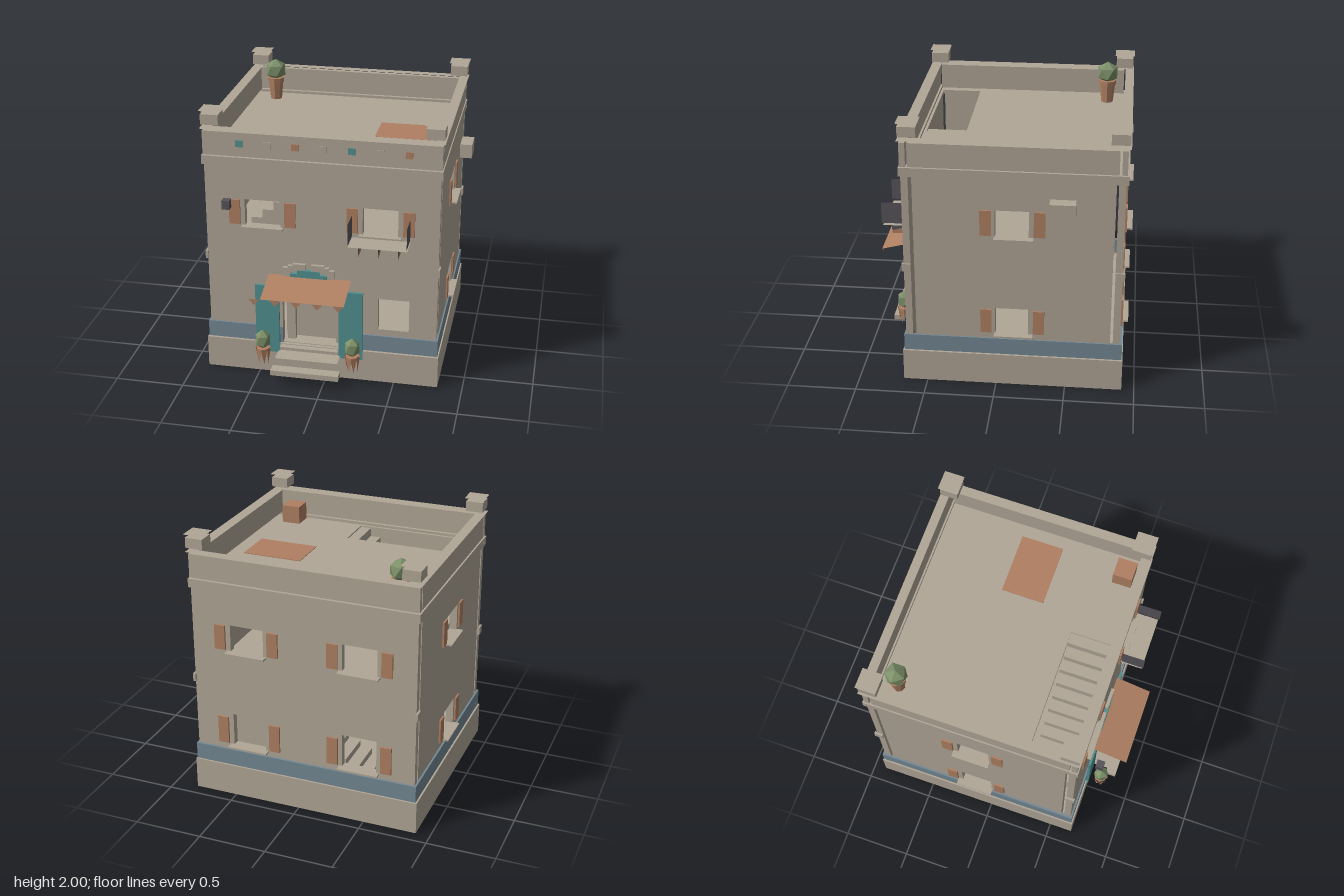
import * as THREE from 'three';

const mat = (name, color) =>
  new THREE.MeshStandardMaterial({ name, color, flatShading: true, side: THREE.DoubleSide });

export function createModel() {
  const root = new THREE.Group();
  root.name = 'townHouse';
  const stone = mat('stone', 0xb0a696), clay = mat('terracotta', 0xb08063), teal = mat('teal', 0x50918f);
  const blue = mat('blue', 0x748894), iron = mat('iron', 0x57545a), leaf = mat('leaf', 0x7c9069);

  const add = (name, geo, m, parent = root) => {
    const mesh = new THREE.Mesh(geo, m);
    mesh.name = name;
    parent.add(mesh);
    return mesh;
  };
  // Box given by its min and max along each axis
  const box = (name, m, x0, x1, y0, y1, z0, z1) => {
    const g = new THREE.BoxGeometry(x1 - x0, y1 - y0, z1 - z0);
    g.translate((x0 + x1) / 2, (y0 + y1) / 2, (z0 + z1) / 2);
    return add(name, g, m);
  };
  // Flat polygon fan from a few corners
  const facet = (name, m, pts) => {
    const g = new THREE.BufferGeometry();
    const tri = [];
    for (let i = 1; i < pts.length - 1; i++) tri.push(...pts[0], ...pts[i], ...pts[i + 1]);
    g.setAttribute('position', new THREE.Float32BufferAttribute(tri, 3));
    g.computeVertexNormals();
    return add(name, g, m);
  };
  const rect = (C, x0, x1, y0, y1) => {
    const s = new C();
    s.moveTo(x0, y0).lineTo(x1, y0).lineTo(x1, y1).lineTo(x0, y1).closePath();
    return s;
  };
  // Slab with rectangular openings, drawn in XY and extruded along Z
  const slab = (outer, holes, depth) => {
    const s = rect(THREE.Shape, ...outer);
    holes.forEach(h => s.holes.push(rect(THREE.Path, ...h)));
    return new THREE.ExtrudeGeometry(s, { depth, bevelEnabled: false });
  };

  // Plinth
  box('plinth', stone, -0.895, 0.82, 0, 0.24, -0.91, 0.675);

  // Walls with window and door openings
  const upper = [[-0.585, -0.33, 1.16, 1.36], [0.26, 0.51, 1.16, 1.36]];
  const door = [-0.325, 0.09, 0.245, 0.72];
  const backLow = [[-0.585, -0.33, 0.41, 0.66], [0.26, 0.51, 0.41, 0.66]];
  const sideWin = [[-0.23, 0.005, 1.18, 1.38], [-0.23, 0.005, 0.41, 0.615]];
  add('frontWall', slab([-0.87, 0.8, 0.24, 1.62], [...upper, door, [0.375, 0.6, 0.42, 0.665]], 0.05), stone)
    .position.z = 0.6;
  add('backWall', slab([-0.87, 0.8, 0.24, 1.62], [...upper, ...backLow], 0.05), stone).position.z = -0.885;
  for (const x of [0.8, -0.815]) {
    const wall = add('sideWall', slab([-0.815, 0.575, 0.24, 1.62], sideWin, 0.055), stone);
    wall.rotation.y = -Math.PI / 2;
    wall.position.x = x;
  }

  // Inner floor, roof deck with stair opening, solid stairs
  box('upperFloor', stone, -0.81, 0.74, 0.89, 0.94, -0.8, 0.57);
  const deck = add('roofDeck', slab([-0.86, 0.79, -0.64, 0.88], [[-0.8, 0.09, -0.58, -0.29]], 0.03), stone);
  deck.rotation.x = -Math.PI / 2;
  deck.position.y = 1.625;
  for (let i = 0; i < 11; i++) {
    const x = -0.8 + i * 0.081;
    box('upperStair', stone, x, x + 0.081, 0.94, 0.94 + (i + 1) * 0.064, 0.29, 0.58);
  }
  for (let i = 0; i < 14; i++) {
    const x = -0.6 + i * 0.09;
    box('lowerStair', stone, x, x + 0.09, 0.24, 0.24 + (i + 1) * 0.046, -0.81, -0.52);
  }

  // Cornice ring and blue dado band
  const band = (name, m, y0, y1, fronts) => {
    fronts.forEach(([a, b]) => box(name, m, a, b, y0, y1, 0.6, 0.664));
    box(name, m, -0.885, 0.812, y0, y1, -0.903, -0.84);
    box(name, m, 0.79, 0.811, y0, y1, -0.84, 0.6);
    box(name, m, -0.884, -0.86, y0, y1, -0.84, 0.6);
  };
  band('cornice', stone, 1.61, 1.675, [[-0.885, 0.812]]);
  band('dado', blue, 0.245, 0.37, [[-0.885, -0.325], [0.09, 0.812]]);
  for (const x of [-0.885, 0.792]) for (const z of [-0.903, 0.6])
    box('cornerBlock', stone, x, x + 0.02, 0.88, 0.94, z, z + 0.064);

  // Parapet with coping
  box('parapet', stone, -0.875, 0.805, 1.68, 1.855, 0.613, 0.655);
  box('parapet', stone, -0.875, 0.805, 1.68, 1.855, -0.89, -0.852);
  for (const x of [-0.875, 0.76]) box('parapet', stone, x, x + 0.045, 1.68, 1.855, -0.835, 0.6);
  const coping = new THREE.ShapeGeometry((() => {
    const s = rect(THREE.Shape, -0.89, 0.82, -0.67, 0.91);
    s.holes.push(rect(THREE.Path, -0.815, 0.75, -0.595, 0.845));
    return s;
  })());
  coping.rotateX(-Math.PI / 2);
  add('coping', coping, stone).position.y = 1.872;

  // Corner posts with flat lids
  for (const x of [-0.817, 0.752]) for (const z of [-0.838, 0.597]) {
    box('cornerPost', stone, x - 0.064, x + 0.064, 1.9, 1.975, z - 0.064, z + 0.064);
    const lid = new THREE.PlaneGeometry(0.148, 0.148).rotateX(-Math.PI / 2);
    add('postLid', lid, stone).position.set(x, 2, z);
  }

  // Parapet tiles
  [teal, stone, clay, stone, teal, stone, clay].forEach((m, i) => {
    const x = -0.61 + i * 0.198;
    box('tile', m, x - 0.025, x + 0.025, 1.752, 1.8, 0.655, 0.662);
  });

  // Shutters and sills
  for (const [z0, z1, s0, s1] of [[0.65, 0.663, 0.65, 0.69], [-0.9, -0.885, -0.94, -0.885]])
    for (const cx of [-0.458, 0.387]) {
      const rows = z0 > 0 ? [[1.17, 1.355]] : [[1.17, 1.355], [0.42, 0.63]];
      for (const [y0, y1] of rows) {
        for (const d of [-0.2, 0.2]) box('shutter', clay, cx + d - 0.04, cx + d + 0.04, y0, y1, z0, z1);
        box('sill', stone, cx - 0.15, cx + 0.15, y0 - 0.02, y0 - 0.008, s0, s1);
      }
    }
  for (const [x0, x1, s0, s1] of [[0.8, 0.812, 0.8, 0.85], [-0.883, -0.87, -0.92, -0.87]])
    for (const [y0, y1] of [[1.19, 1.38], [0.42, 0.605]]) {
      for (const z of [-0.305, 0.07]) box('shutter', clay, x0, x1, y0, y1, z - 0.04, z + 0.04);
      box('sill', stone, s0, s1, y0 - 0.02, y0 - 0.008, -0.265, 0.013);
    }

  // Doorway: recessed panel, jambs, open teal leaves
  box('doorPanel', stone, -0.325, 0.09, 0.24, 0.73, 0.5, 0.53);
  box('doorJamb', stone, -0.305, -0.245, 0.24, 0.72, 0.55, 0.59);
  box('doorJamb', stone, 0.055, 0.09, 0.24, 0.72, 0.55, 0.59);
  box('doorLeaf', teal, -0.52, -0.345, 0.17, 0.71, 0.665, 0.685);
  box('doorLeaf', teal, 0.095, 0.27, 0.17, 0.71, 0.665, 0.685);

  // Stepped arch above the door with teal infill
  for (const s of [-1, 1]) {
    const blocks = [[0.125, 0.19, 0.795, 0.862], [0.075, 0.15, 0.83, 0.88], [0.02, 0.115, 0.85, 0.895]];
    for (const [a, b, y0, y1] of blocks) {
      const xs = [s * a - 0.127, s * b - 0.127].sort((p, q) => p - q);
      box('archStone', stone, xs[0], xs[1], y0, y1, 0.65, 0.675);
    }
  }
  box('fanlight', teal, -0.26, 0.008, 0.795, 0.82, 0.65, 0.68);
  box('fanlight', teal, -0.207, -0.045, 0.82, 0.85, 0.65, 0.68);

  // Awning with pennants
  facet('awning', clay, [[-0.42, 0.725, 0.93], [0.18, 0.725, 0.93], [0.18, 0.795, 0.66], [-0.42, 0.795, 0.66]]);
  for (let i = 0; i < 5; i++) {
    const x = -0.465 + i * 0.151;
    facet('pennant', clay, [[x - 0.038, 0.723, 0.93], [x, 0.678, 0.93], [x + 0.038, 0.723, 0.93]]);
  }

  // Entrance steps
  facet('stepTread', stone, [[-0.335, 0.235, 0.72], [0.09, 0.235, 0.72], [0.09, 0.235, 0.6], [-0.335, 0.235, 0.6]]);
  facet('stepTread', stone, [[-0.355, 0.185, 0.8], [0.105, 0.185, 0.8], [0.105, 0.185, 0.67], [-0.355, 0.185, 0.67]]);
  box('bottomStep', stone, -0.375, 0.125, 0.08, 0.12, 0.79, 0.87);

  // Balcony: open floor, end panels, brackets
  facet('balconyFloor', stone, [[0.185, 1.135, 0.825], [0.6, 1.135, 0.825], [0.6, 1.135, 0.655], [0.185, 1.135, 0.655]]);
  for (const x of [0.188, 0.597])
    facet('balconyPanel', iron, [[x, 1.15, 0.835], [x, 1.15, 0.665], [x, 1.31, 0.665], [x, 1.31, 0.835]]);
  for (const x of [0.25, 0.39, 0.53]) {
    facet('bracket', clay, [[x, 1.04, 0.775], [x, 1.04, 0.665], [x, 1.095, 0.665], [x, 1.06, 0.775]]);
    facet('bracketBrace', iron, [[x, 1.06, 0.775], [x, 1.095, 0.665], [x, 1.108, 0.665], [x, 1.108, 0.775]]);
  }

  // Wall lamp and side unit
  box('lamp', iron, -0.71, -0.655, 1.335, 1.4, 0.745, 0.8);
  box('wallUnit', stone, 0.82, 0.91, 1.385, 1.49, -0.555, -0.375);

  // Roof rug and crate
  box('roofRug', clay, 0.235, 0.68, 1.655, 1.66, -0.28, 0.03);
  box('crate', clay, 0.55, 0.69, 1.655, 1.79, 0.44, 0.58);

  // Faceted shrubs with a vertex pointing up
  const shrub = (r, ry, x, y, z) => {
    const g = new THREE.IcosahedronGeometry(r, 0).rotateZ(Math.atan(2 / (1 + Math.sqrt(5))));
    g.scale(1, ry, 1);
    add('shrub', g, leaf).position.set(x, y, z);
  };
  shrub(0.085, 1, -0.68, 1.888, -0.71);
  add('roofPot', new THREE.CylinderGeometry(0.058, 0.045, 0.14, 8), clay).position.set(-0.68, 1.725, -0.71);
  add('roofPotRim', new THREE.CylinderGeometry(0.066, 0.064, 0.035, 8), clay).position.set(-0.68, 1.81, -0.71);

  // Door planters made of tapering staves
  for (const x of [-0.45, 0.21]) {
    const z = 0.765, n = 8;
    shrub(0.06, 1.3, x, 0.313, z);
    add('planterRim', new THREE.CylinderGeometry(0.05, 0.05, 0.012, n), clay).position.set(x, 0.243, z);
    for (let i = 0; i < n; i++) {
      const at = (k, r, y) => {
        const a = (k / n) * Math.PI * 2;
        return [x + r * Math.sin(a), y, z + r * Math.cos(a)];
      };
      facet('planterStave', clay, [at(i, 0.057, 0.245), at(i + 0.5, 0.042, 0.125), at(i + 1, 0.057, 0.245)]);
    }
  }
  return root;
}
